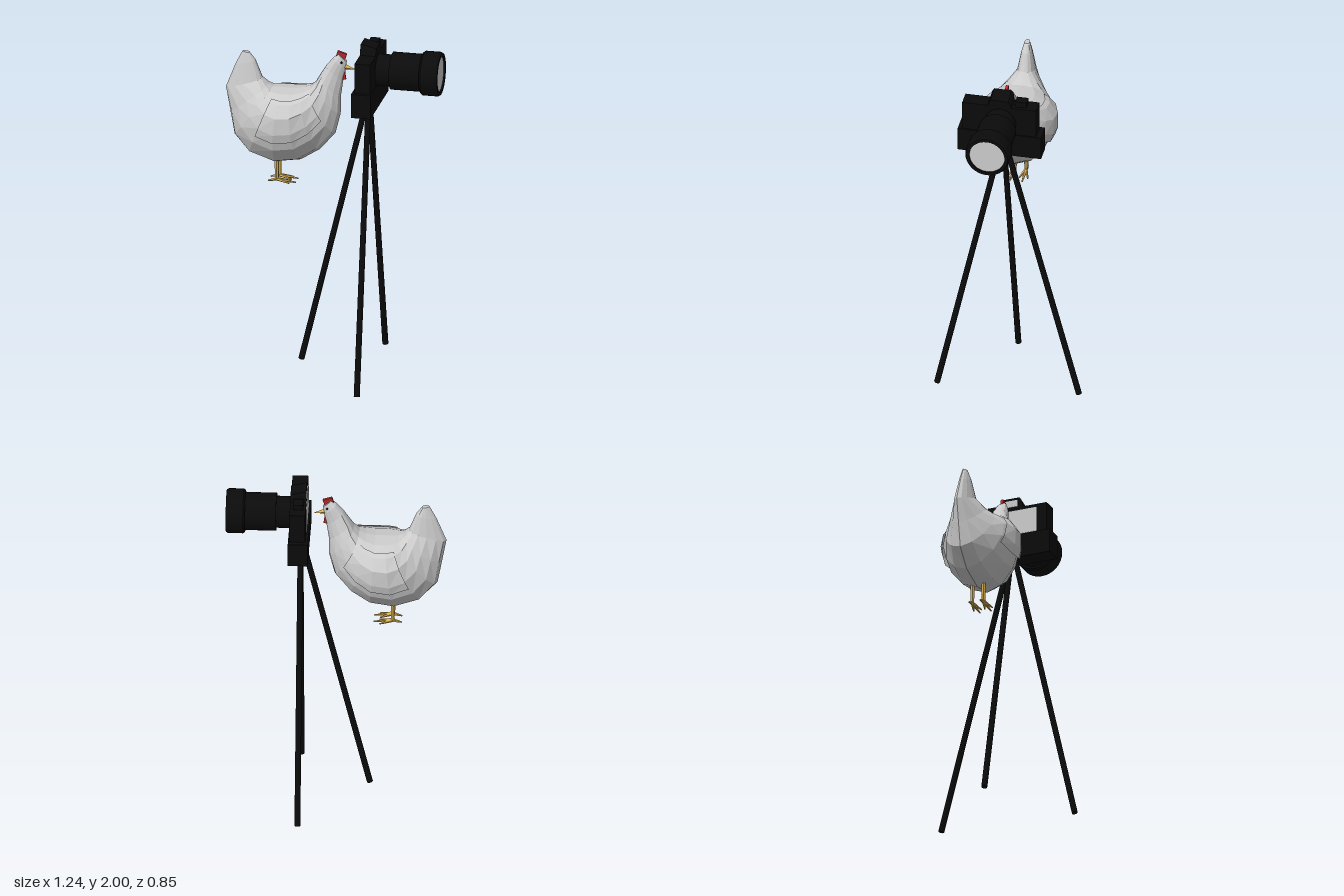
import * as THREE from 'three';

const mat = (color, extra = {}) => new THREE.MeshStandardMaterial({ color, ...extra });
const white = mat(0xcccccc, { flatShading: true, side: THREE.DoubleSide });
const glass = mat(0xcccccc);
const black = mat(0x0b0b0b);
const yellow = mat(0xd8b050, { flatShading: true });
const red = mat(0xb02828, { flatShading: true });

const Z = 0.045; // centre plane of the hen

function add(parent, name, geometry, material, x = 0, y = 0, z = 0) {
  const mesh = new THREE.Mesh(geometry, material);
  mesh.name = name;
  mesh.position.set(x, y, z);
  parent.add(mesh);
  return mesh;
}

// Box given by its minimum and maximum corners
function box(parent, name, a, b, material) {
  const s = b.map((v, i) => v - a[i]), c = b.map((v, i) => (v + a[i]) / 2);
  return add(parent, name, new THREE.BoxGeometry(...s), material, ...c);
}

// Tapered rod from point a to point b
function rod(parent, name, a, b, ra, rb, sides, material) {
  const A = new THREE.Vector3(...a), B = new THREE.Vector3(...b);
  const d = B.clone().sub(A);
  const mesh = add(parent, name, new THREE.CylinderGeometry(rb, ra, d.length(), sides), material);
  mesh.position.copy(A).add(B).multiplyScalar(0.5);
  mesh.quaternion.setFromUnitVectors(new THREE.Vector3(0, 1, 0), d.normalize());
  return mesh;
}

// Hen sections from tail to head: upper x, y; lower x, y; half width
const sections = [
  [-0.485, 1.885, -0.525, 1.89, 0.015],
  [-0.45, 1.84, -0.565, 1.81, 0.03],
  [-0.41, 1.74, -0.62, 1.67, 0.05],
  [-0.375, 1.705, -0.595, 1.53, 0.1],
  [-0.35, 1.69, -0.57, 1.39, 0.145],
  [-0.32, 1.69, -0.48, 1.29, 0.185],
  [-0.28, 1.69, -0.33, 1.243, 0.21],
  [-0.22, 1.69, -0.19, 1.265, 0.205],
  [-0.17, 1.70, -0.08, 1.335, 0.175],
  [-0.13, 1.715, 0.01, 1.44, 0.13],
  [-0.10, 1.745, 0.04, 1.56, 0.1],
  [-0.08, 1.78, 0.042, 1.67, 0.07],
  [-0.04, 1.845, 0.055, 1.76, 0.045],
  [0.0, 1.893, 0.07, 1.83, 0.035],
  [0.03, 1.915, 0.075, 1.875, 0.02],
];
const SIDES = 14;

// Point on a section; the widest line sits above the middle
function ringPoint([ux, uy, lx, ly, w], j, side = 1, swell = 1) {
  const t = (j / SIDES) * Math.PI * 2;
  const k = (1 + Math.cos(t) + 0.28 * Math.sin(t) ** 2) / 2;
  return [lx + (ux - lx) * k, ly + (uy - ly) * k, Z + side * swell * w * Math.sin(t)];
}

// Surface through rows of points
function skin(rows, caps = false) {
  const n = rows[0].length, index = [];
  for (let i = 0; i < rows.length - 1; i++) {
    for (let j = 0; j < n - 1; j++) {
      const a = i * n + j, c = a + n;
      index.push(a, a + 1, c, a + 1, c + 1, c);
    }
  }
  if (caps) {
    const e = (rows.length - 1) * n;
    for (let j = 1; j < n - 2; j++) index.push(0, j + 1, j, e, e + j, e + j + 1);
  }
  const g = new THREE.BufferGeometry();
  g.setAttribute('position', new THREE.Float32BufferAttribute(rows.flat(2), 3));
  g.setIndex(index);
  g.computeVertexNormals();
  return g;
}

function makeHen() {
  const hen = new THREE.Group();
  hen.name = 'hen';
  const ring = Array.from({ length: SIDES + 1 }, (_, j) => j);
  add(hen, 'henBody', skin(sections.map((s) => ringPoint.length && ring.map((j) => ringPoint(s, j))), true), white);

  for (const side of [1, -1]) {
    // Folded wing, a raised panel over the flank
    const cols = side > 0 ? [1.6, 2, 3, 4, 4.5] : [4.5, 4, 3, 2, 1.6];
    const rows = sections.slice(5, 10).map((s) => cols.map((j) => ringPoint(s, j, side, 1.08)));
    add(hen, 'wing', skin(rows), white);

    // Leg with three front toes and one back toe
    const z = Z + side * 0.034;
    const ankle = [-0.32, 1.15, z];
    rod(hen, 'leg', [-0.32, 1.29, z], ankle, 0.014, 0.011, 6, yellow);
    for (const [dx, dz] of [[0.11, 0], [0.075, 0.024], [0.075, -0.024], [-0.05, 0]]) {
      rod(hen, 'toe', ankle, [-0.32 + dx, 1.137, z + dz], 0.011, 0.004, 5, yellow);
    }
    // Eye
    add(hen, 'eye', new THREE.SphereGeometry(0.006, 8, 6), black, 0.05, 1.872, Z + side * 0.026);
  }

  rod(hen, 'beak', [0.055, 1.842, Z], [0.125, 1.828, Z], 0.019, 0.001, 4, yellow);
  const comb = add(hen, 'comb', new THREE.BoxGeometry(0.055, 0.032, 0.016), red, 0.045, 1.91, Z);
  comb.rotation.z = -0.3;
  const wattle = add(hen, 'wattle', new THREE.CylinderGeometry(0.01, 0.019, 0.055, 6), red, 0.055, 1.793, Z);
  wattle.scale.z = 0.55;
  return hen;
}

function makeCamera() {
  const camera = new THREE.Group();
  camera.name = 'photoCamera';
  box(camera, 'base', [0.15, 1.625, -0.2], [0.262, 1.765, 0.28], black);
  box(camera, 'cameraBody', [0.165, 1.7, -0.17], [0.255, 1.94, 0.255], black);
  box(camera, 'dial', [0.18, 1.93, -0.11], [0.235, 1.972, -0.045], black);

  // Viewfinder hump: trapezoid across, sloping down to the lens side
  const shape = new THREE.Shape([[-0.03, 1.93], [0.115, 1.93], [0.1, 1.985], [0.09, 2], [-0.01, 2], [-0.02, 1.985]]
    .map(([z, y]) => new THREE.Vector2(-z, y)));
  const hump = new THREE.ExtrudeGeometry(shape, { depth: 0.09, bevelEnabled: false });
  hump.rotateY(Math.PI / 2);
  const p = hump.attributes.position;
  for (let i = 0; i < p.count; i++) {
    if (p.getX(i) > 0.05 && p.getY(i) > 1.95) p.setY(i, p.getY(i) - 0.022);
  }
  hump.computeVertexNormals();
  add(camera, 'viewfinderHump', hump, black, 0.165);

  box(camera, 'screen', [0.161, 1.772, -0.08], [0.17, 1.92, 0.195], glass);
  box(camera, 'eyepiece', [0.161, 1.945, 0], [0.17, 1.985, 0.08], glass);

  // Stepped lens barrel with a recessed front opening
  const profile = [[0, 0.24], [0.09, 0.24], [0.09, 0.335], [0.107, 0.335], [0.107, 0.51], [0.118, 0.51],
    [0.126, 0.52], [0.126, 0.605], [0.12, 0.617], [0.102, 0.617], [0.1, 0.6]];
  // Each straight run is lathed alone so the steps stay sharp
  for (let i = 0; i < profile.length - 1; i++) {
    const run = [profile[i], profile[i + 1]].map(([r, x]) => new THREE.Vector2(r, x));
    const lens = add(camera, 'lensBarrel', new THREE.LatheGeometry(run, 32), black, 0, 1.835, 0.035);
    lens.rotation.z = -Math.PI / 2;
  }
  const front = add(camera, 'lensGlass', new THREE.CircleGeometry(0.101, 32), glass, 0.608, 1.835, 0.035);
  front.rotation.y = Math.PI / 2;
  return camera;
}

function makeTripod() {
  const tripod = new THREE.Group();
  tripod.name = 'tripod';
  for (const [top, foot] of [
    [[0.2, 1.65, 0.045], [0.212, 0.005, 0.408]],
    [[0.2, 1.65, 0.015], [0.198, 0.03, -0.404]],
    [[0.19, 1.65, 0.028], [-0.19, 0.065, 0.028]],
  ]) rod(tripod, 'tripodLeg', top, foot, 0.016, 0.017, 14, black);
  return tripod;
}

export function createModel() {
  const model = new THREE.Group();
  model.name = 'henWithCamera';
  model.add(makeHen(), makeCamera(), makeTripod());
  return model;
}
